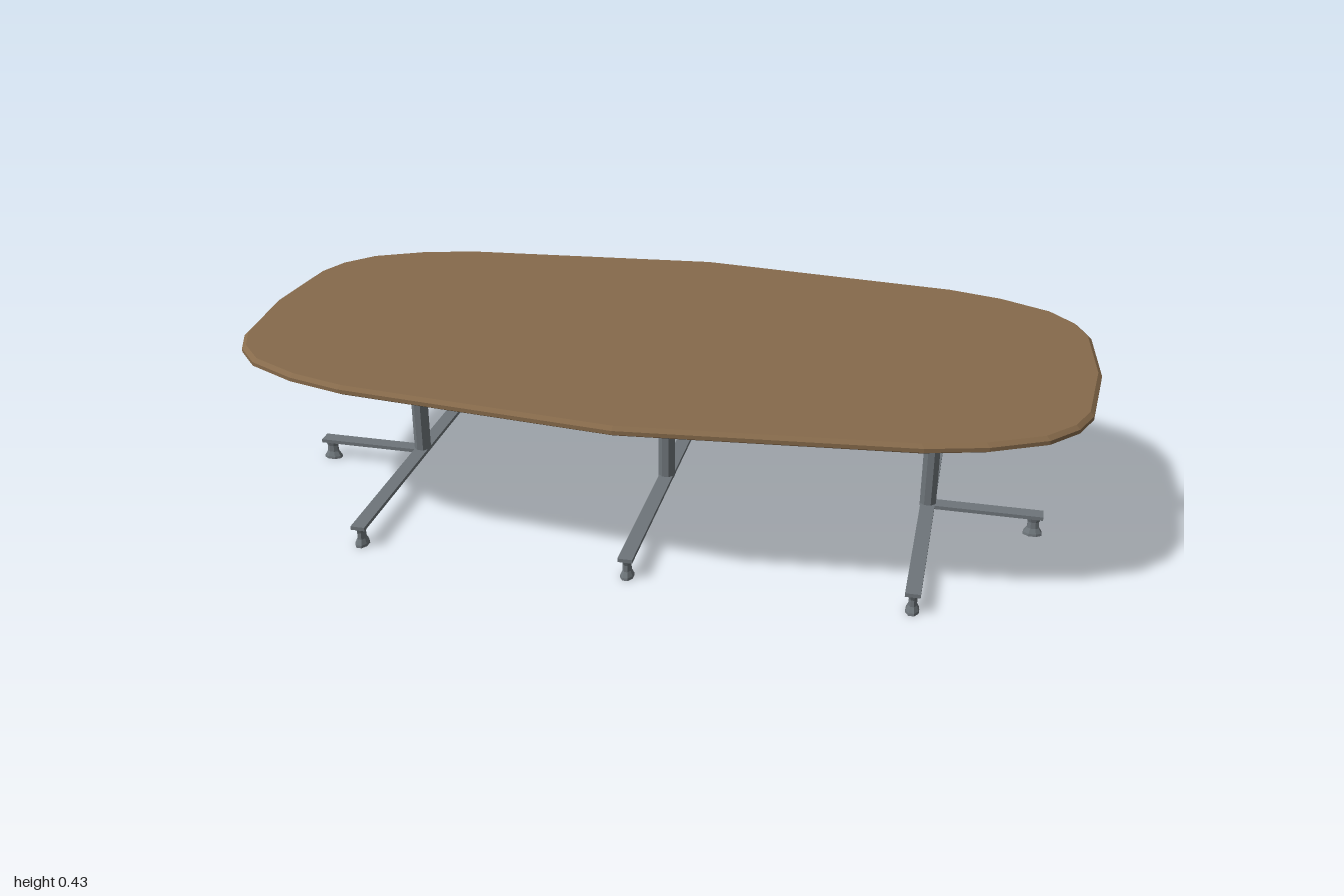
import * as THREE from 'three';

const wood = new THREE.MeshStandardMaterial({ color: 0x866a4b, flatShading: true });
const metal = new THREE.MeshStandardMaterial({ color: 0x6e757a, flatShading: true });

function add(parent, name, geometry, material, x = 0, y = 0, z = 0) {
  const mesh = new THREE.Mesh(geometry, material);
  mesh.name = name;
  mesh.position.set(x, y, z);
  parent.add(mesh);
  return mesh;
}

// Faceted boat-shaped top with chamfered upper and lower edges
function tabletopGeometry() {
  const quarter = [[0, 0.513], [0.64, 0.45], [0.77, 0.415], [0.89, 0.355], [0.95, 0.288], [0.98, 0.215], [1, 0]];
  const back = quarter.slice(0, -1).reverse().map(([x, z]) => [x, -z]);
  const half = [...quarter, ...back];
  const outline = [...half, ...half.slice(1, -1).reverse().map(([x, z]) => [-x, z])];
  const rings = [[0.012, 0.405], [0, 0.412], [0, 0.421], [0.009, 0.429]]; // inset, height
  const n = outline.length, pos = [], index = [];
  for (const [inset, y] of rings)
    for (const [x, z] of outline) pos.push(x * (1 - inset), y, z * (1 - inset / 0.513));
  for (let r = 0; r < rings.length - 1; r++)
    for (let i = 0; i < n; i++) {
      const j = (i + 1) % n, a = r * n + i, b = r * n + j;
      index.push(a, b, b + n, a, b + n, a + n);
    }
  // Caps
  const top = (rings.length - 1) * n;
  for (let i = 1; i < n - 1; i++) {
    index.push(0, i + 1, i);
    index.push(top, top + i, top + i + 1);
  }
  const g = new THREE.BufferGeometry();
  g.setAttribute('position', new THREE.Float32BufferAttribute(pos, 3));
  g.setIndex(index);
  g.computeVertexNormals();
  return g;
}

// Spool-shaped foot, longer along its arm (local x)
function footGeometry() {
  const profile = [[0, 0], [0.022, 0], [0.021, 0.006], [0.014, 0.018], [0.013, 0.034], [0.018, 0.047], [0, 0.047]]
    .map(([r, y]) => new THREE.Vector2(r / Math.cos(Math.PI / 8), y));
  return new THREE.LatheGeometry(profile, 8, Math.PI / 8).scale(1, 1, 0.68);
}

// Horizontal bar reaching outward from the post, with a foot near its end
function addArm(parent, angle, reach) {
  const arm = new THREE.Group();
  arm.name = 'arm';
  arm.rotation.y = angle;
  add(arm, 'armBar', new THREE.BoxGeometry(reach, 0.009, 0.034), metal, reach / 2, 0.051, 0);
  add(arm, 'foot', footGeometry(), metal, reach - 0.021, 0, 0);
  parent.add(arm);
}

export function createModel() {
  const table = new THREE.Group();
  table.name = 'table';
  add(table, 'tabletop', tabletopGeometry(), wood);

  // Three pedestals; the end ones have an extra outward arm
  for (const side of [-1, 0, 1]) {
    const leg = new THREE.Group();
    leg.name = side ? 'endPedestal' : 'middlePedestal';
    leg.position.x = side * 0.64;
    const post = new THREE.CylinderGeometry(0.0205, 0.0205, 0.358, 8).rotateY(Math.PI / 8);
    add(leg, 'post', post, metal, 0, 0.228, 0);
    addArm(leg, Math.PI / 2, 0.42);
    addArm(leg, -Math.PI / 2, 0.42);
    if (side) addArm(leg, side > 0 ? 0 : Math.PI, 0.27);
    // Small foot directly below the middle of the pedestal is carried by the arms
    table.add(leg);
  }
  return table;
}
